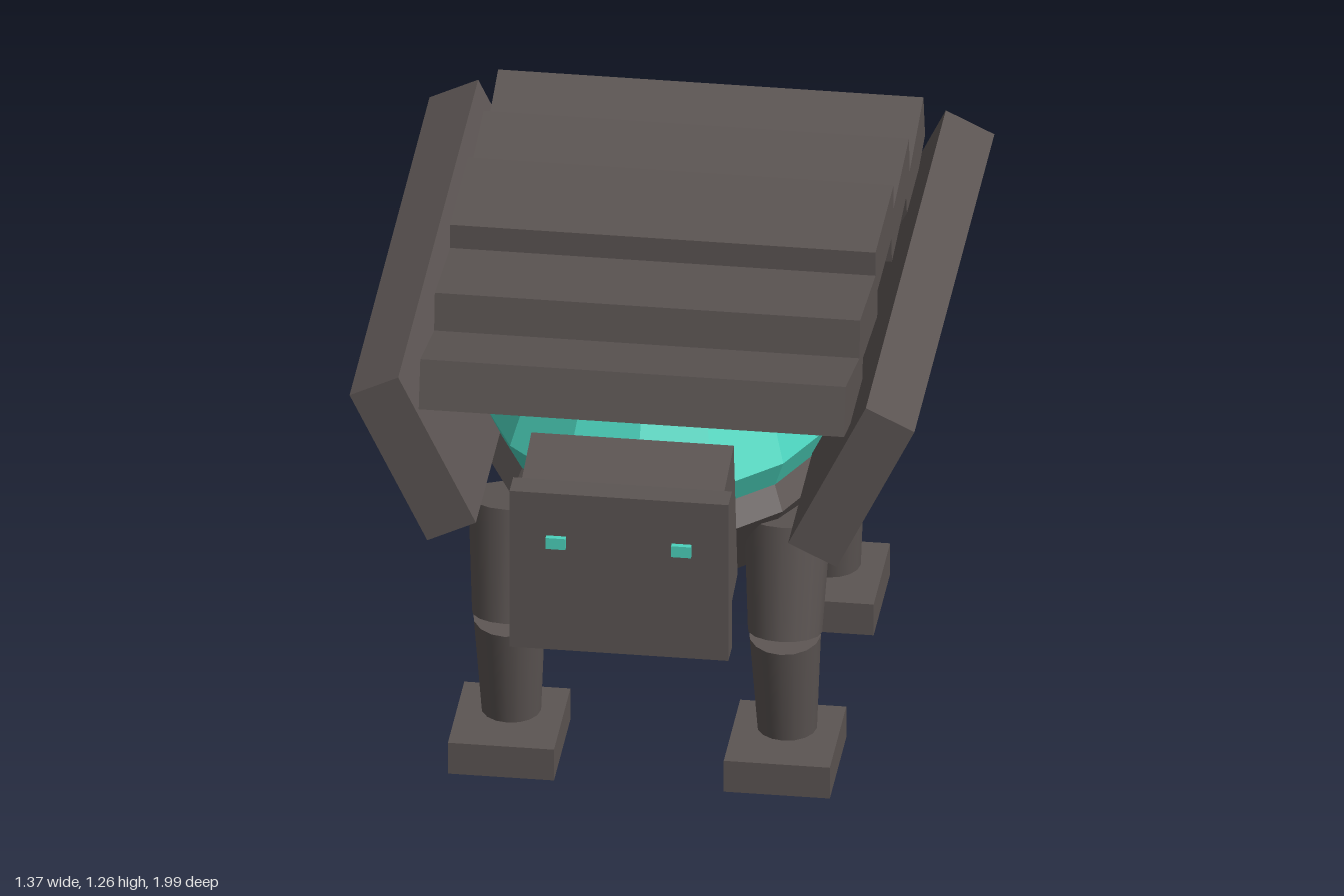
import * as THREE from 'three';

export function createModel() {
  const model = new THREE.Group();
  model.name = 'armouredTurtle';
  const stone = new THREE.MeshStandardMaterial({ color: 0x5c5553, flatShading: false });
  stone.name = 'dark stone';
  const glow = new THREE.MeshStandardMaterial({ color: 0x4cd3bd });
  glow.name = 'teal';

  const add = (name, geometry, material, x, y, z) => {
    const mesh = new THREE.Mesh(geometry, material);
    mesh.name = name;
    mesh.position.set(x, y, z);
    model.add(mesh);
    return mesh;
  };
  const box = (name, w, h, d, x, y, z, material = stone) =>
    add(name, new THREE.BoxGeometry(w, h, d), material, x, y, z);

  // Tapered round limb from point a (radius ra) to point b (radius rb)
  const limb = (name, a, ra, b, rb) => {
    const from = new THREE.Vector3(...a), to = new THREE.Vector3(...b);
    const axis = to.clone().sub(from);
    const mid = from.add(to).multiplyScalar(0.5);
    const mesh = add(name, new THREE.CylinderGeometry(rb, ra, axis.length(), 16), stone, mid.x, mid.y, mid.z);
    mesh.quaternion.setFromUnitVectors(new THREE.Vector3(0, 1, 0), axis.normalize());
  };

  // Faceted ellipsoid
  const ellipsoid = (name, rx, ry, rz, bands, material, y) => {
    const g = new THREE.SphereGeometry(1, 16, bands).scale(rx, ry, rz).toNonIndexed();
    g.computeVertexNormals();
    add(name, g, material, 0, y, 0);
  };

  // Body: stone belly with a teal core above it
  ellipsoid('belly', 0.465, 0.324, 0.68, 4, stone, 0.702);
  ellipsoid('core', 0.468, 0.29, 0.68, 6, glow, 0.835);

  // Roof: five slabs, the outer ones tipped up at their far ends
  box('roofSlabMiddle', 1.03, 0.125, 0.33, 0, 1.202, 0.02);
  for (const s of [1, -1]) {
    const end = s > 0 ? 'Front' : 'Back';
    box('roofSlabInner' + end, 1.03, 0.125, 0.33, 0, 1.153, 0.02 + s * 0.29).rotation.x = -s * 0.122;
    box('roofSlabOuter' + end, 1.03, 0.125, 0.33, 0, 1.1, 0.02 + s * 0.565).rotation.x = -s * 0.244;
  }

  // Leaning side plates
  for (const s of [1, -1]) {
    const side = s > 0 ? 'Left' : 'Right';
    box('sidePlate' + side, 0.131, 0.43, 1.46, s * 0.531, 0.934, 0.018).rotation.z = -s * 0.453;
  }

  // Head, face plate and eyes
  box('head', 0.49, 0.4, 0.24, 0, 0.805, 0.821).rotation.x = 0.175;
  box('facePlate', 0.53, 0.43, 0.067, 0, 0.785, 0.953);
  for (const s of [1, -1]) {
    box('eye' + (s > 0 ? 'Left' : 'Right'), 0.048, 0.03, 0.02, s * 0.152, 0.869, 0.99, glow);
  }

  // Tail
  limb('tail', [0, 0.8, -0.724], 0.095, [0, 0.604, -0.971], 0.035);

  // Four legs, front and back pairs identical
  for (const [end, dz] of [['front', 0], ['back', -0.8]]) {
    for (const s of [1, -1]) {
      const name = end + (s > 0 ? 'Left' : 'Right');
      const x = s * 0.334;
      limb(name + 'UpperLeg', [x, 0.663, 0.42 + dz], 0.106, [x, 0.372, 0.473 + dz], 0.09);
      limb(name + 'LowerLeg', [x, 0.363, 0.473 + dz], 0.087, [x, 0.06, 0.43 + dz], 0.071);
      box(name + 'Foot', 0.257, 0.085, 0.3, x, 0.0425, 0.473 + dz);
    }
  }
  return model;
}
